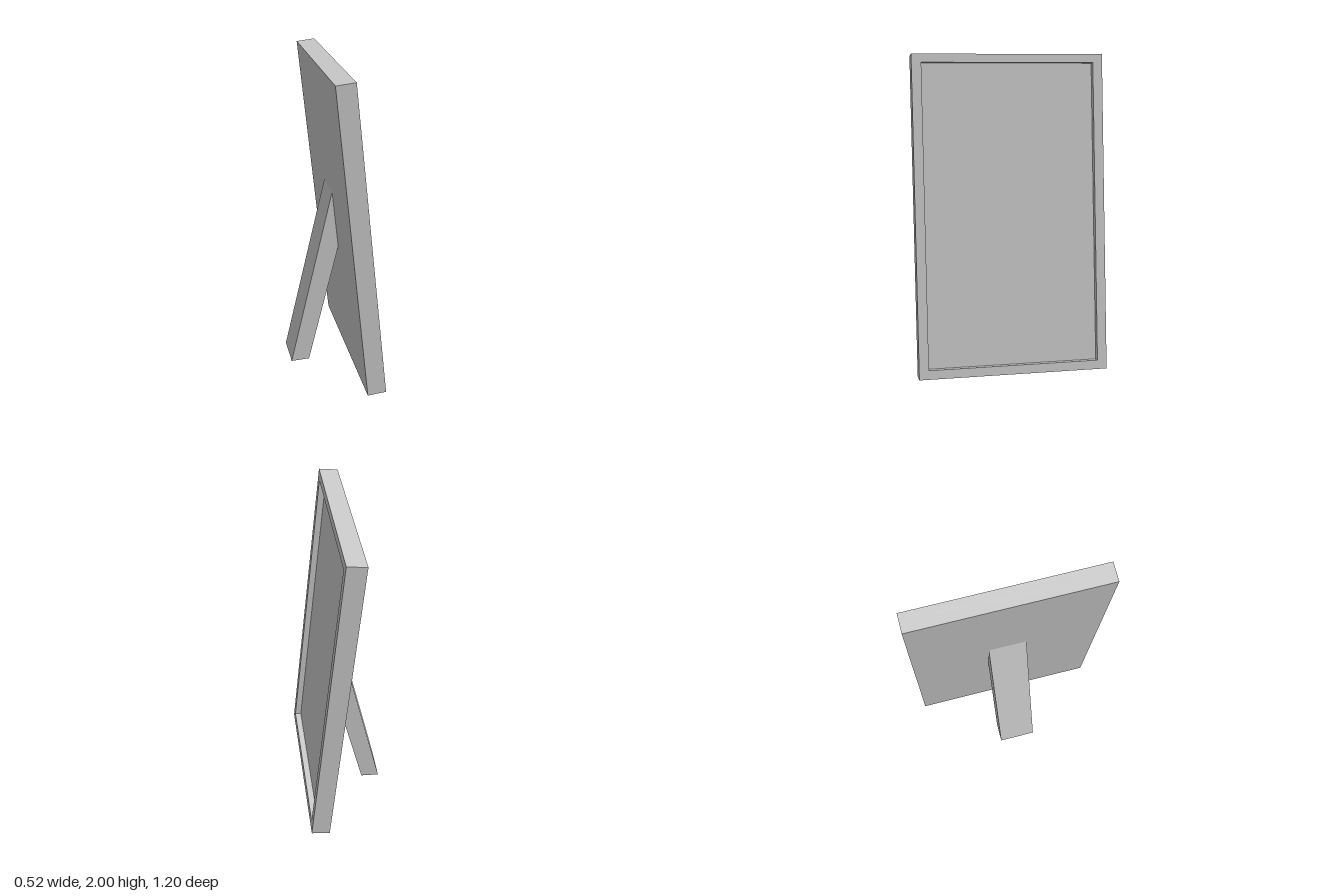
import * as THREE from 'three';

const rectangle = (Type, x0, y0, x1, y1) => {
  const path = new Type();
  path.moveTo(x0, y0);
  path.lineTo(x1, y0);
  path.lineTo(x1, y1);
  path.lineTo(x0, y1);
  path.closePath();
  return path;
};

export function createModel() {
  const model = new THREE.Group();
  model.name = 'standingFrame';
  const grey = new THREE.MeshStandardMaterial({ color: 0xcccccc });
  grey.name = 'grey';

  const add = (parent, name, geometry) => {
    const mesh = new THREE.Mesh(geometry, grey);
    mesh.name = name;
    parent.add(mesh);
    return mesh;
  };

  // Leaning board, pivoting on its lower back edge
  const height = 1.999, halfWidth = 0.6, thickness = 0.118, recess = 0.04;
  const board = new THREE.Group();
  board.name = 'leaningBoard';
  board.position.set(0.14, 0, 0);
  board.rotation.z = 0.108;
  model.add(board);

  // Back panel, whose front is the floor of the recess
  const panelDepth = thickness - recess;
  add(board, 'backPanel', new THREE.BoxGeometry(panelDepth, height, halfWidth * 2))
    .position.set(panelDepth / 2, height / 2, 0);

  // Raised rim around the recess
  const rim = rectangle(THREE.Shape, -halfWidth, 0, halfWidth, height);
  rim.holes.push(rectangle(THREE.Path, -0.54, 0.057, 0.54, height - 0.052));
  const rimGeometry = new THREE.ExtrudeGeometry(rim, { depth: recess, bevelEnabled: false });
  rimGeometry.rotateY(Math.PI / 2);
  add(board, 'rim', rimGeometry).position.x = panelDepth;

  // Prop leg, its top end buried in the back panel
  const leg = new THREE.Shape([
    new THREE.Vector2(-0.26, 0.01),
    new THREE.Vector2(-0.143, 0.016),
    new THREE.Vector2(0.062, 0.86),
    new THREE.Vector2(0.022, 1.24),
  ]);
  add(model, 'propLeg', new THREE.ExtrudeGeometry(leg, { depth: 0.24, bevelEnabled: false }))
    .position.z = -0.12;

  return model;
}
